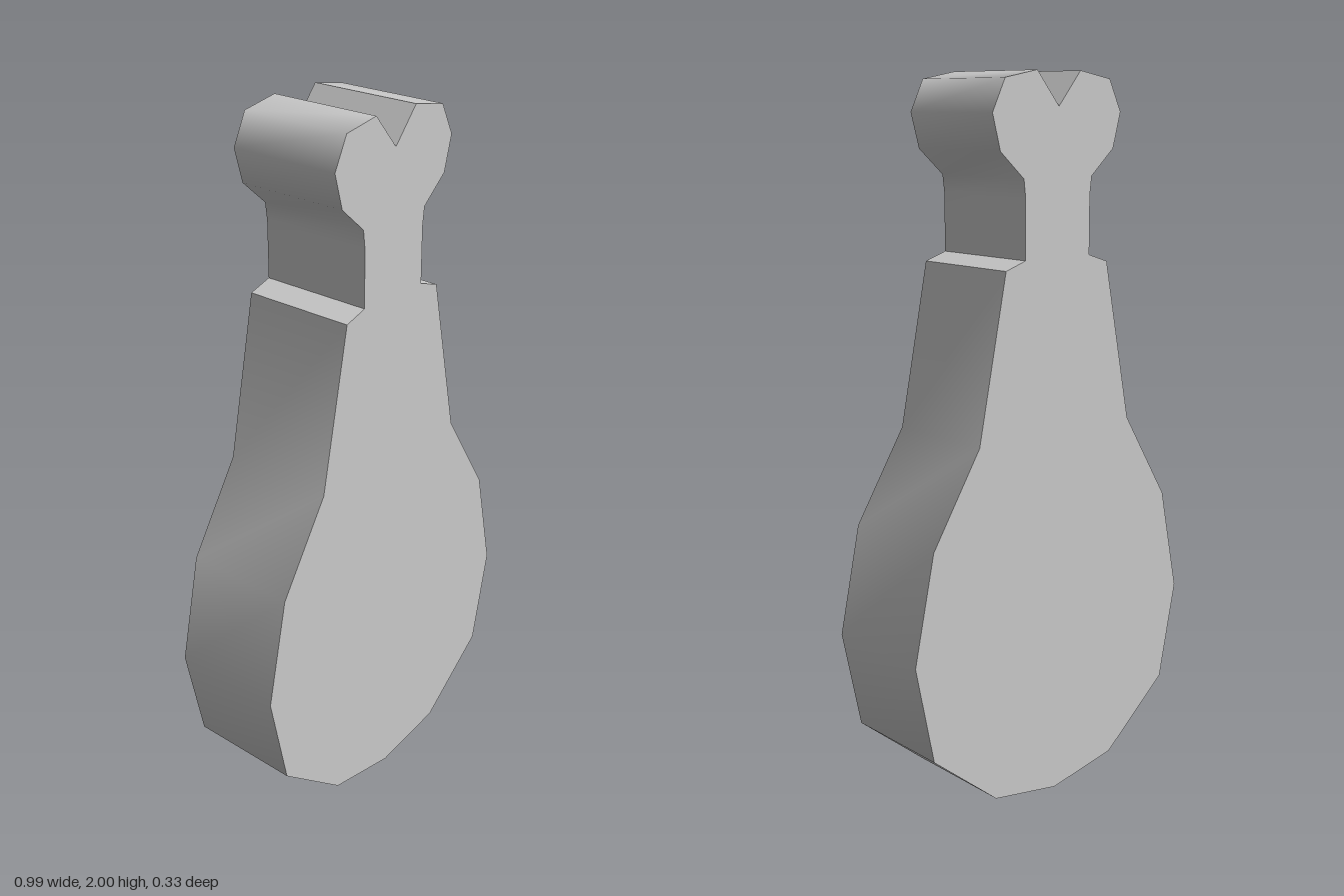
import * as THREE from 'three';
import { toCreasedNormals } from 'three/addons/utils/BufferGeometryUtils.js';

const DEPTH = 0.33;

// Right half of the outline, from the bottom tip up to the notch of the bone
const HALF = [
  [0, 0], [0.222, 0.04], [0.438, 0.22], [0.495, 0.5], [0.43, 0.8], [0.274, 1.05], [0.182, 1.5], // meat
  [0.115, 1.522], [0.115, 1.68], [0.121, 1.73],                                                  // bone shaft
  [0.2, 1.8], [0.226, 1.895], [0.184, 1.98], [0.076, 2], [0, 1.91],                              // bone knuckle
];

export function createModel() {
  const group = new THREE.Group();
  group.name = 'drumstick';

  // Mirror the half outline to close the silhouette
  const mirrored = HALF.slice(1, -1).reverse().map(([x, y]) => [-x, y]);
  const outline = [...HALF, ...mirrored].map(([x, y]) => new THREE.Vector2(x, y));

  // One solid slab: meat and bone share flat front and back faces
  const slab = new THREE.ExtrudeGeometry(new THREE.Shape(outline), { depth: DEPTH, bevelEnabled: false });
  slab.translate(0, 0, -DEPTH / 2);

  // Smooth the rounded rim, keep the shoulders, notch and face edges sharp
  const mesh = new THREE.Mesh(
    toCreasedNormals(slab, THREE.MathUtils.degToRad(60)),
    new THREE.MeshStandardMaterial({ color: 0xcccccc }),
  );
  mesh.name = 'meatAndBone';
  group.add(mesh);
  return group;
}
